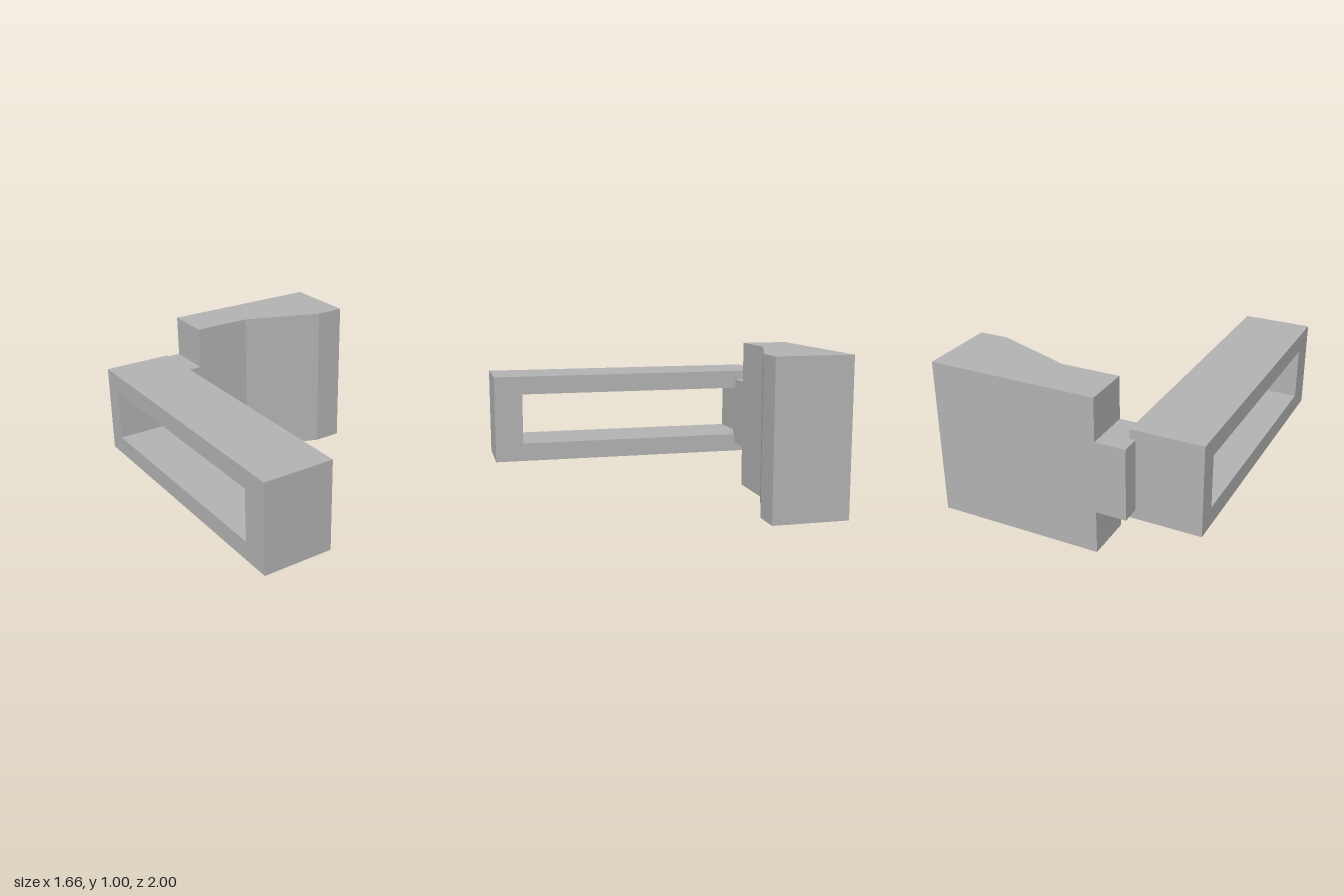
import * as THREE from 'three';

const rect = (T, x0, y0, x1, y1) => {
  const p = new T();
  p.moveTo(x0, y0).lineTo(x1, y0).lineTo(x1, y1).lineTo(x0, y1).closePath();
  return p;
};

export function createModel() {
  const group = new THREE.Group();
  const grey = new THREE.MeshStandardMaterial({ color: 0xb2b2b2 });
  grey.name = 'grey';

  const add = (name, geometry) => {
    const mesh = new THREE.Mesh(geometry, grey);
    mesh.name = name;
    group.add(mesh);
    return mesh;
  };

  // Long rectangular loop: side outline (z, y) with a window, extruded along x
  const side = rect(THREE.Shape, -1, 0.215, 0.88, 0.79);
  side.holes.push(rect(THREE.Path, -0.815, 0.335, 0.75, 0.67));
  const loop = add('loopFrame', new THREE.ExtrudeGeometry(side, { depth: 0.445, bevelEnabled: false }));
  loop.rotation.y = Math.PI / 2; // shape x becomes -z, depth becomes +x
  loop.position.x = -0.83;

  // Block with a sloped front: plan outline (x, -z), extruded upward
  const plan = new THREE.Shape([
    [-0.23, 0.695], [0.14, 0.695], [0.64, 0.505], [0.83, 0.505], [0.83, 1], [-0.23, 1],
  ].map(([x, y]) => new THREE.Vector2(x, y)));
  const block = add('block', new THREE.ExtrudeGeometry(plan, { depth: 1, bevelEnabled: false }));
  block.rotation.x = -Math.PI / 2;

  // Tab joining the block to the loop
  const tab = add('connectingTab', new THREE.BoxGeometry(0.19, 0.455, 0.305));
  tab.position.set(-0.325, 0.5025, -0.8475);

  return group;
}
